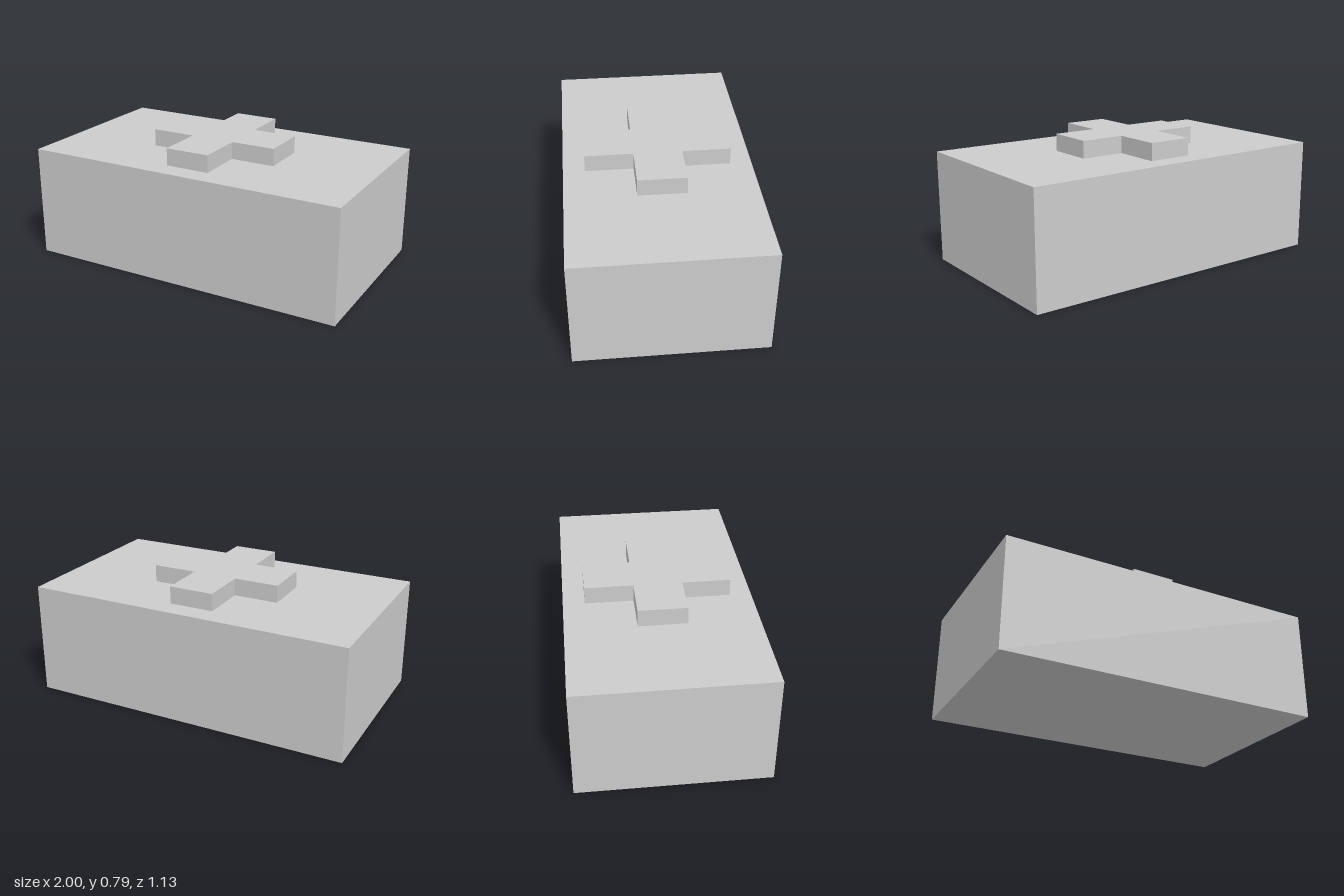
import * as THREE from 'three';

const WIDTH = 2, HEIGHT = 0.685, DEPTH = 1.13;

// Plus-shaped outline: overall half sizes (w, d), each arm a third as wide
function crossShape(w, d) {
  const a = w / 3, b = d / 3;
  return new THREE.Shape([
    [a, -d], [a, -b], [w, -b], [w, b], [a, b], [a, d],
    [-a, d], [-a, b], [-w, b], [-w, -b], [-a, -b], [-a, -d],
  ].map(([x, y]) => new THREE.Vector2(x, y)));
}

export function createModel() {
  const group = new THREE.Group();
  const material = new THREE.MeshStandardMaterial({ color: 0xcccccc, flatShading: true });

  // Solid case
  const body = new THREE.Mesh(new THREE.BoxGeometry(WIDTH, HEIGHT, DEPTH), material);
  body.name = 'caseBody';
  body.position.y = HEIGHT / 2;
  group.add(body);

  // Raised cross on the lid
  const crossGeometry = new THREE.ExtrudeGeometry(crossShape(0.41, 0.435), {
    depth: 0.105, bevelEnabled: false,
  }).rotateX(-Math.PI / 2);
  const cross = new THREE.Mesh(crossGeometry, material);
  cross.name = 'raisedCross';
  cross.position.y = HEIGHT;
  group.add(cross);

  return group;
}
